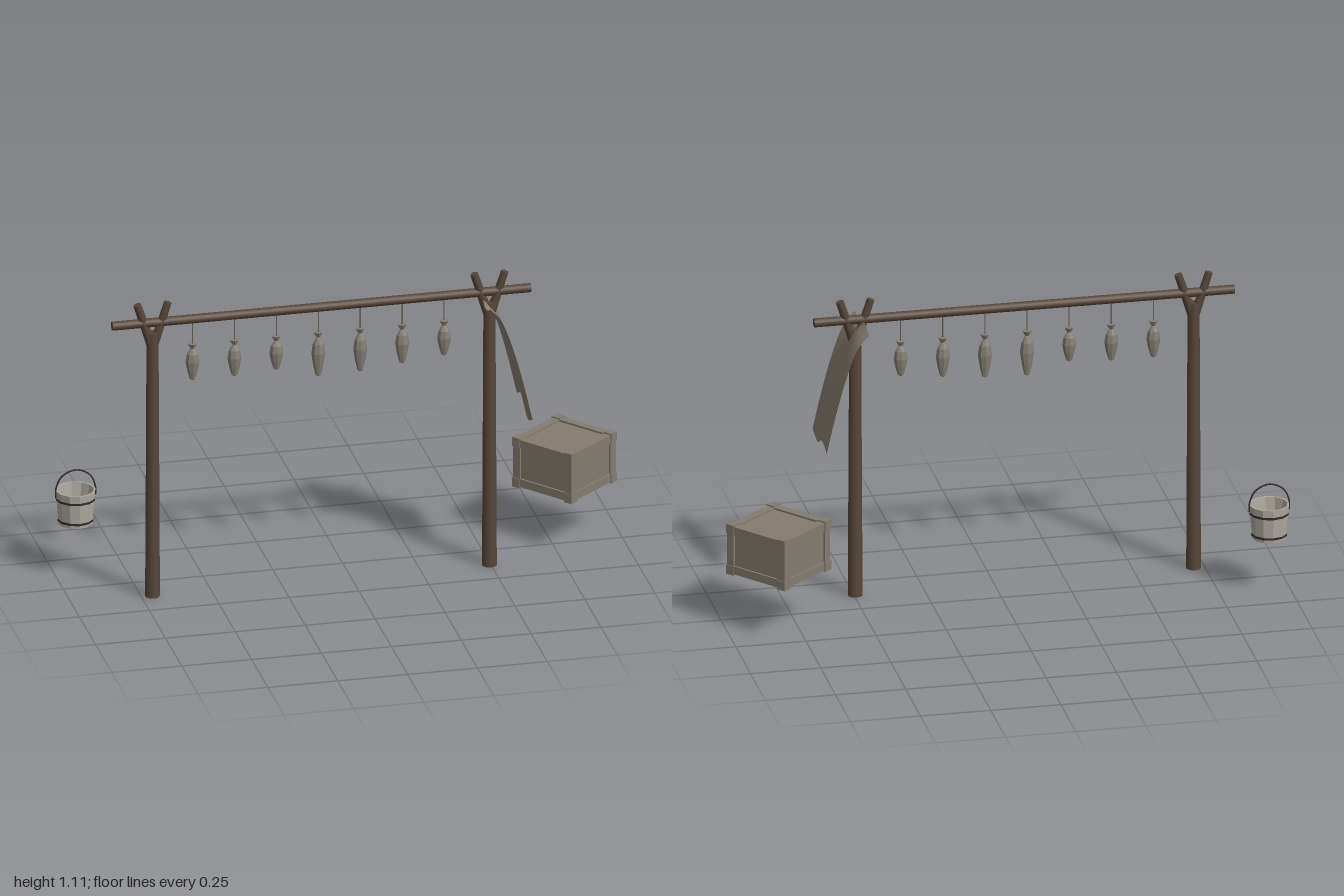
import * as THREE from 'three';

const mat = (name, color, opts = {}) => {
  const m = new THREE.MeshStandardMaterial({ color, ...opts });
  m.name = name;
  return m;
};

export function createModel() {
  const wood = mat('dark wood', 0x57473a);
  const crateWood = mat('crate wood', 0x857c70);
  const clothMat = mat('cloth', 0x877d70, { side: THREE.DoubleSide });
  const fishMat = mat('dried fish', 0x857f74, { flatShading: true });
  const bucketMat = mat('pale bucket wood', 0xb0aaa0, { flatShading: true, side: THREE.DoubleSide });
  const iron = mat('iron', 0x33312f);
  const twine = mat('twine', 0x6b6459);

  const model = new THREE.Group();
  model.name = 'fishDryingRack';
  const Z = 0.128;

  const add = (parent, name, geo, material, x = 0, y = 0, z = 0) => {
    const mesh = new THREE.Mesh(geo, material);
    mesh.name = name;
    mesh.position.set(x, y, z);
    parent.add(mesh);
    return mesh;
  };
  // Round pole between two points
  const pole = (parent, name, a, b, r0, r1, material, sides = 10) => {
    const dir = b.clone().sub(a);
    const mesh = add(parent, name, new THREE.CylinderGeometry(r1, r0, dir.length(), sides), material);
    mesh.position.copy(a).add(b).multiplyScalar(0.5);
    mesh.quaternion.setFromUnitVectors(new THREE.Vector3(0, 1, 0), dir.normalize());
    return mesh;
  };
  const V = (x, y, z = Z) => new THREE.Vector3(x, y, z);

  // Forked posts and the crossbeam
  for (const x of [-0.71, 0.495]) {
    const post = new THREE.Group();
    post.name = 'forkedPost';
    model.add(post);
    pole(post, 'post', V(x, 0), V(x, 1.0), 0.026, 0.021, wood);
    for (const s of [-1, 1])
      pole(post, 'forkProng', V(x + s * 0.002, 0.945), V(x + s * 0.055, 1.11), 0.017, 0.014, wood, 8);
  }
  pole(model, 'crossbeam', V(-0.855, 1.038), V(0.642, 1.038), 0.016, 0.016, wood);

  // Hanging fish, tail up
  const lengths = [0.14, 0.14, 0.13, 0.17, 0.165, 0.15, 0.135];
  lengths.forEach((len, i) => {
    const fish = new THREE.Group();
    fish.name = 'hangingFish';
    fish.position.set(-0.567 + i * 0.15, 0.945, Z);
    model.add(fish);
    const body = len - 0.02;
    const profile = [
      [0, -len], [0.01, -len + 0.006], [0.019, -0.02 - body * 0.68], [0.025, -0.02 - body * 0.4],
      [0.02, -0.02 - body * 0.16], [0.007, -0.019], [0.017, -0.001], [0, 0],
    ].map(([x, y]) => new THREE.Vector2(x, y));
    add(fish, 'fishBody', new THREE.LatheGeometry(profile, 8), fishMat).scale.z = 0.85;
    add(fish, 'string', new THREE.CylinderGeometry(0.0022, 0.0022, 0.09, 5), twine, 0, 0.044, 0);
  });

  // Draped cloth: a sagging curve swept along z with a gentle ripple
  const sag = new THREE.CatmullRomCurve3(
    [[0.47, 1.022], [0.507, 0.98], [0.545, 0.885], [0.586, 0.74], [0.621, 0.59]].map(([x, y]) => V(x, y, 0)));
  const clothGeo = new THREE.PlaneGeometry(1, 1, 16, 14);
  const pos = clothGeo.attributes.position;
  for (let i = 0; i < pos.count; i++) {
    const u = pos.getX(i);
    const p = sag.getPoint(0.5 - pos.getY(i));
    const wave = Math.sin(u * Math.PI * 2);
    pos.setXYZ(i, p.x + 0.003 * wave, p.y + 0.022 * wave, Z + 0.002 - u * 0.24);
  }
  clothGeo.computeVertexNormals();
  add(model, 'drapedCloth', clothGeo, clothMat);

  // Crate: recessed panels, edge rails and corner blocks
  const crate = new THREE.Group();
  crate.name = 'crate';
  crate.position.set(0.809, 0.289, -0.068);
  crate.rotation.y = 0.69;
  model.add(crate);
  const w = 0.256, h = 0.178, t = 0.03;
  add(crate, 'cratePanels', new THREE.BoxGeometry(w - 0.014, h - 0.014, w - 0.014), crateWood);
  for (const a of [-1, 1]) for (const b of [-1, 1]) {
    const e = (w - t) / 2, f = (h - t) / 2;
    add(crate, 'crateRail', new THREE.BoxGeometry(w, t, t), crateWood, 0, a * f, b * e);
    add(crate, 'crateRail', new THREE.BoxGeometry(t, t, w), crateWood, b * e, a * f, 0);
    add(crate, 'cratePost', new THREE.BoxGeometry(t, h, t), crateWood, a * e, 0, b * e);
    for (const c of [-1, 1])
      add(crate, 'cornerBlock', new THREE.BoxGeometry(0.034, 0.034, 0.034), crateWood,
        a * (0.131 - 0.017), c * (0.094 - 0.017), b * (0.131 - 0.017));
  }

  // Bucket: open tapered tub, iron hoops and a bail handle
  const bucket = new THREE.Group();
  bucket.name = 'bucket';
  bucket.position.set(-0.928, 0.197, -0.118);
  model.add(bucket);
  const wall = [[0.061, 0], [0.071, 0.125], [0.064, 0.125], [0.054, 0], [0.061, 0]]
    .map(([x, y]) => new THREE.Vector2(x, y));
  add(bucket, 'bucketWall', new THREE.LatheGeometry(wall, 12), bucketMat);
  for (const [y, r] of [[0.016, 0.0635], [0.095, 0.0695]])
    add(bucket, 'hoop', new THREE.CylinderGeometry(r + 0.002, r + 0.001, 0.009, 12, 1, true), iron, 0, y, 0);
  const bail = new THREE.CatmullRomCurve3(
    [[-0.071, 0.1], [-0.07, 0.135], [-0.05, 0.177], [0, 0.199], [0.05, 0.177], [0.07, 0.135], [0.071, 0.1]]
      .map(([x, y]) => V(x, y, 0)));
  add(bucket, 'handle', new THREE.TubeGeometry(bail, 24, 0.003, 6), iron);

  return model;
}
